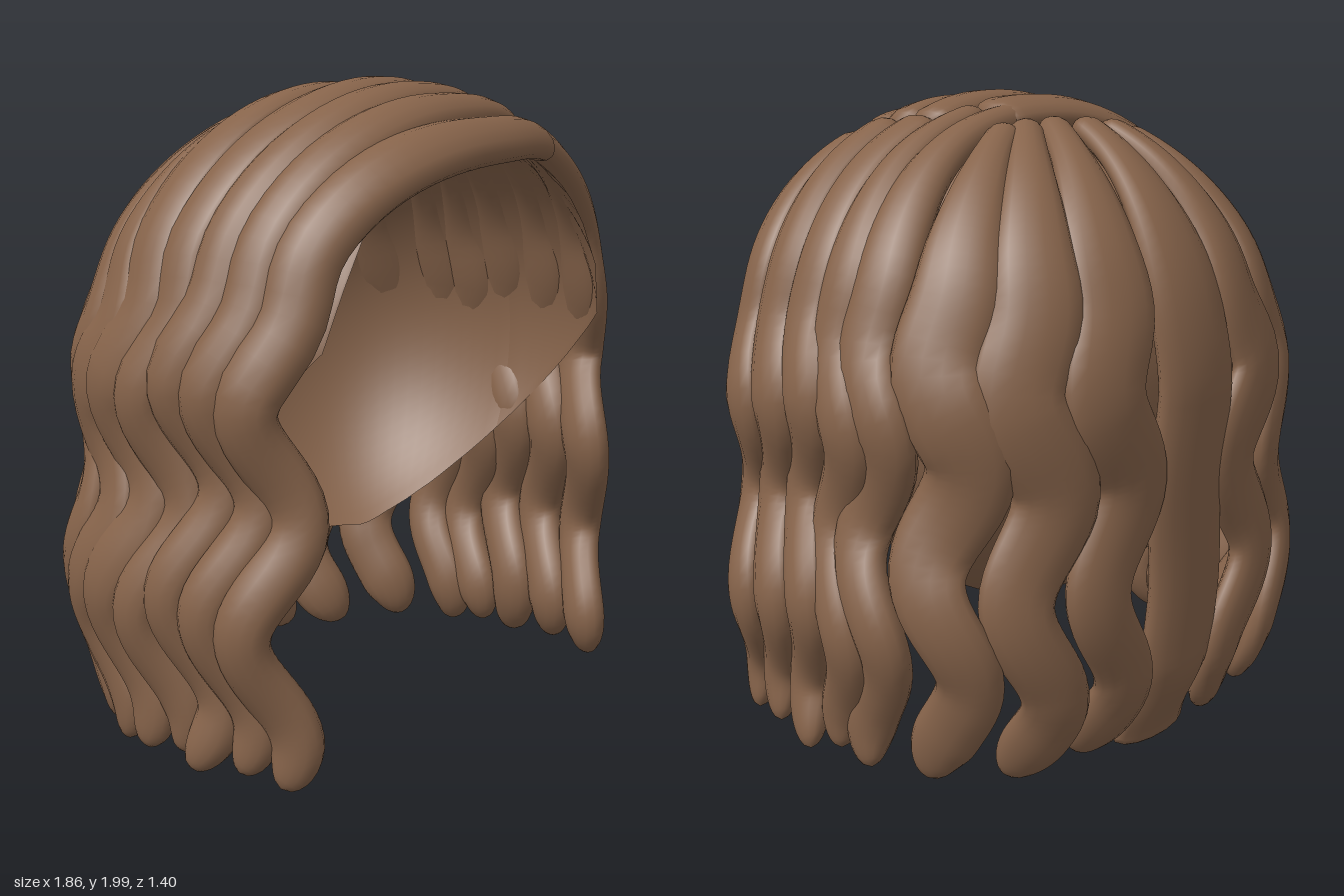
import * as THREE from 'three';

// Head form: a dome, squarish in plan, centred at (0, CY, CZ)
const A = 0.805, RY = 0.795, B = 0.8, CY = 1.15, CZ = 0.15, P = 2.5;
const planR = (x, z) => Math.pow(Math.pow(Math.abs(x / A), P) + Math.pow(Math.abs((z - CZ) / B), P), 1 / P);
const clamp01 = (v) => Math.min(1, Math.max(0, v));
const smooth = (v) => { const t = clamp01(v); return t * t * (3 - 2 * t); };

// Centre line of a lock: over the dome from start to rim, then hanging in waves
function lockPath({ start, rim, bulge = 0, tip = 0.05, amp = 1, shift = 0 }) {
  const k = 1 / planR(rim[0], rim[1]);
  const ex = rim[0] * k, ez = CZ + (rim[1] - CZ) * k;
  const out = new THREE.Vector3(
    Math.sign(ex) * Math.pow(Math.abs(ex / A), P - 1) / A, 0,
    Math.sign(ez - CZ) * Math.pow(Math.abs((ez - CZ) / B), P - 1) / B).normalize();
  const along = new THREE.Vector3(-out.z, 0, out.x);
  if (along.x * ex < 0 && Math.abs(out.z) > 0.5 || along.z < 0 && Math.abs(out.z) <= 0.5) along.negate();
  const back = Math.max(0, -out.z);
  const corner = 2 * back * Math.abs(out.x);
  const pts = [];
  const add = (x, y, z) => {
    const fade = smooth((1.6 - y) / 0.55) * amp;
    const w = (2 * Math.PI) / 0.62;
    const drop = Math.max(0, CY - y);
    const radial = fade * 0.045 * (1 - 0.65 * back) * Math.cos(w * (y - 0.5 - shift))
      + (1 - back) * 0.025 * smooth((1 - y) / 0.5)
      + corner * 0.05 * smooth((1.2 - y) / 0.6)
      - back * (0.05 * drop + 0.11 * smooth((0.3 - y) / 0.3));
    const lateral = fade * 0.06 * Math.cos(w * (y - 0.79 + 0.23 * back - shift));
    pts.push(new THREE.Vector3(x, y, z).addScaledVector(out, radial).addScaledVector(along, lateral));
  };
  for (let i = 0; i < 32; i++) {
    const s = Math.sin(Math.pow(i / 32, 1.5) * Math.PI / 2);
    const x = start[0] + (ex - start[0]) * s;
    const z = start[1] + (ez - start[1]) * s + bulge * Math.sin(Math.PI * s);
    const r = Math.min(1, planR(x, z));
    add(x, CY + RY * Math.sqrt(1 - r * r), z);
  }
  for (let i = 0; i <= 40; i++) add(ex, tip + (CY - tip) * Math.pow(1 - i / 40, 1.3), ez);
  return { pts, out };
}

// Flattened tube swept along the path, its broad face turned away from the head
function makeLock(name, material, opts) {
  const { width = 0.19, thick = 0.11, root = 0.9, endWidth = 0.85, blunt = false } = opts;
  const { pts, out } = lockPath(opts);
  const sides = 14, n = pts.length, len = [0];
  for (let i = 1; i < n; i++) len.push(len[i - 1] + pts[i].distanceTo(pts[i - 1]));
  const total = len[n - 1], pos = [], idx = [];
  for (let i = 0; i < n; i++) {
    const p = pts[i];
    const t = pts[Math.min(n - 1, i + 1)].clone().sub(pts[Math.max(0, i - 1)]).normalize();
    const hang = smooth((1.45 - p.y) / 0.35);
    const nrm = new THREE.Vector3(p.x / (A * A), Math.max(0, p.y - CY) / (RY * RY), (p.z - CZ) / (B * B))
      .normalize().lerp(out, hang);
    nrm.addScaledVector(t, -nrm.dot(t)).normalize();
    const side = new THREE.Vector3().crossVectors(t, nrm);
    const u = len[i] / total, rest = total - len[i];
    const round = (d, r) => Math.sqrt(Math.max(0.0004, 1 - Math.pow(1 - Math.min(1, d / r), 2)));
    const ends = round(len[i], 0.06) * round(rest, blunt ? 0.02 : 0.17);
    const grow = root + (1 - root) * smooth(u / 0.35);
    const waist = blunt ? 1 - 0.18 * Math.exp(-Math.pow((rest - 0.22) / 0.1, 2)) : 1;
    const shrink = (1 + (endWidth - 1) * smooth((u - 0.45) / 0.4)) * waist;
    const w = 0.5 * width * grow * shrink * ends;
    const h = 0.5 * thick * (0.6 + 0.4 * grow) * ends;
    for (let j = 0; j < sides; j++) {
      const a = (j / sides) * Math.PI * 2;
      const q = p.clone().addScaledVector(side, w * Math.cos(a)).addScaledVector(nrm, h * Math.sin(a));
      pos.push(q.x, q.y, q.z);
      if (i < n - 1) {
        const a0 = i * sides + j, a1 = i * sides + (j + 1) % sides;
        idx.push(a0, a0 + sides, a1, a1, a0 + sides, a1 + sides);
      }
    }
  }
  // close both ends
  for (let j = 1; j < sides - 1; j++) {
    const e = (n - 1) * sides;
    idx.push(0, j, j + 1, e, e + j + 1, e + j);
  }
  const g = new THREE.BufferGeometry();
  g.setAttribute('position', new THREE.Float32BufferAttribute(pos, 3));
  g.setIndex(idx);
  g.computeVertexNormals();
  const mesh = new THREE.Mesh(g, material);
  mesh.name = name;
  return mesh;
}

// Thin inner cap, open to the front and cut on a slant towards the nape
function makeCap(material) {
  const cols = 96, rows = 40, f = 0.945, pos = [], idx = [];
  const at = (theta, phi) => {
    const c = Math.cos(phi), s = Math.sin(phi), up = Math.cos(theta);
    const k = f * Math.sin(theta) / Math.pow(Math.pow(Math.abs(c), P) + Math.pow(Math.abs(s), P), 1 / P);
    return [A * c * k, CY + (up > 0 ? RY * f : 0.8) * up, CZ + B * s * k];
  };
  const inside = ([, y, z]) => z < 0.57 && y > 0.475 && y > 0.475 + (z + 0.15) * 1.1;
  for (let i = 0; i <= cols; i++) {
    const phi = (i / cols) * Math.PI * 2;
    let end = 0.05;
    while (end < 3 && inside(at(end + 0.004, phi))) end += 0.004;
    for (let j = 0; j <= rows; j++) {
      pos.push(...at(end * j / rows, phi));
      if (i < cols && j < rows) {
        const a = i * (rows + 1) + j, b = a + rows + 1;
        idx.push(a, b, a + 1, a + 1, b, b + 1);
      }
    }
  }
  const g = new THREE.BufferGeometry();
  g.setAttribute('position', new THREE.Float32BufferAttribute(pos, 3));
  g.setIndex(idx);
  g.computeVertexNormals();
  const mesh = new THREE.Mesh(g, material);
  mesh.name = 'innerCap';
  return mesh;
}

export function createModel() {
  const group = new THREE.Group();
  group.name = 'wig';
  const hair = new THREE.MeshStandardMaterial({ color: 0x86634a, side: THREE.DoubleSide });
  hair.name = 'brownHair';
  group.add(makeCap(hair));

  // Locks swept from the parting across to the right: start z, rim z, bulge, width
  [[0.55, 0.47, 0.11, 0.2], [0.41, 0.33, 0.1, 0.19], [0.29, 0.19, 0.1, 0.19], [0.16, 0.05, 0.09, 0.2], [0.0, -0.11, 0.03, 0.24]]
    .forEach(([s, e, bulge, width], i) => group.add(makeLock('rightLock' + (i + 1), hair, {
      start: [0.31 - (i === 4 ? 0.12 : 0), s], rim: [-0.84, e], bulge, width, root: 0.85,
      tip: 0.04 + 0.02 * (i % 2), shift: 0.03 * (i % 3) - 0.02,
    })));

  // Locks falling from the parting to the left
  [[0.28, 0.5, 0.46], [0.28, 0.34, 0.28], [0.28, 0.17, 0.11], [0.17, 0.05, -0.05], [0.08, -0.04, -0.19]]
    .forEach(([x, s, e], i) => group.add(makeLock('leftLock' + (i + 1), hair, {
      start: [x, s], rim: [0.84, e], bulge: i < 3 ? 0.03 : 0.05, width: 0.2, root: i < 3 ? 0.9 : 0.5,
      tip: 0.04 + 0.02 * (i % 2), shift: 0.03 * (i % 3) - 0.02,
    })));

  // Locks fanning from the crown down the back
  [-0.75, -0.68, -0.54, -0.3, -0.025, 0.28, 0.51, 0.68].forEach((x, i) => {
    const z = CZ - B * Math.pow(1 - Math.pow(Math.abs(x) / A, P), 1 / P);
    const centre = i === 4;
    group.add(makeLock('backLock' + (i + 1), hair, {
      start: [-0.07 + x * 0.4, -0.09 - 0.03 * (1 - Math.abs(x))], rim: [x, z],
      width: centre ? 0.31 : 0.27, root: 0.38, endWidth: centre ? 0.98 : 0.75, blunt: centre,
      amp: centre ? 0.15 : 1, tip: centre ? 0.01 : 0.02 + 0.015 * (i % 3), shift: 0.03 * (i % 2),
    }));
  });
  return group;
}
